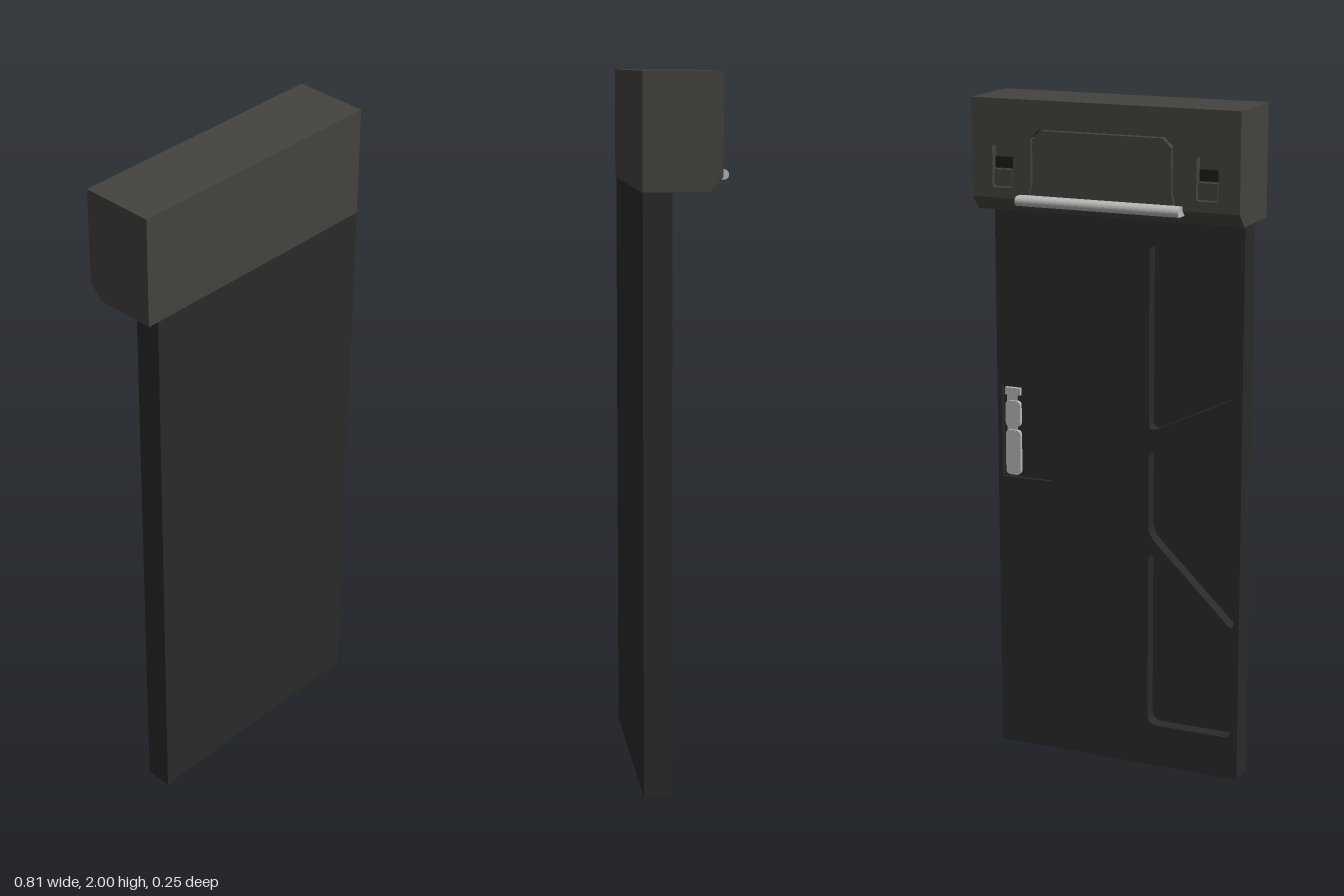
import * as THREE from 'three';

const mat = (color) => new THREE.MeshStandardMaterial({ color });
const headerMat = mat(0x45433f);
const doorMat = mat(0x2a2a2a);
const darkMat = mat(0x1c1c1c);
const metalMat = mat(0xb8b8b8);

// Trace a polygon with rounded corners into a Shape or Path
function trace(points, r = 0, target = new THREE.Shape()) {
  const pts = points.map(([x, y]) => new THREE.Vector2(x, y));
  const n = pts.length;
  const toward = (a, b) => a.clone().add(b.clone().sub(a).setLength(r));
  pts.forEach((p, i) => {
    if (!r) return i ? target.lineTo(p.x, p.y) : target.moveTo(p.x, p.y);
    const a = toward(p, pts[(i + n - 1) % n]);
    const b = toward(p, pts[(i + 1) % n]);
    if (i) target.lineTo(a.x, a.y); else target.moveTo(a.x, a.y);
    target.quadraticCurveTo(p.x, p.y, b.x, b.y);
  });
  target.closePath();
  return target;
}
const hole = (points, r) => trace(points, r, new THREE.Path());
const rect = (x0, x1, y0, y1) => [[x0, y0], [x1, y0], [x1, y1], [x0, y1]];

export function createModel() {
  const model = new THREE.Group();

  const add = (name, geometry, material) => {
    const mesh = new THREE.Mesh(geometry, material);
    mesh.name = name;
    model.add(mesh);
    return mesh;
  };
  const box = (name, material, x0, x1, y0, y1, z0, z1) => {
    const g = new THREE.BoxGeometry(x1 - x0, y1 - y0, z1 - z0);
    g.translate((x0 + x1) / 2, (y0 + y1) / 2, (z0 + z1) / 2);
    return add(name, g, material);
  };
  // Plate drawn in x/y and thickened along z
  const plate = (name, material, shape, z0, z1) => {
    const g = new THREE.ExtrudeGeometry(shape, { depth: z1 - z0, bevelEnabled: false, curveSegments: 5 });
    g.translate(0, 0, z0);
    return add(name, g, material);
  };
  // Section drawn in z/y and swept along x
  const sweep = (name, material, shape, x0, x1) => {
    const g = new THREE.ExtrudeGeometry(shape, { depth: x1 - x0, bevelEnabled: false, curveSegments: 8 });
    g.rotateY(-Math.PI / 2);
    g.translate(x1, 0, 0);
    return add(name, g, material);
  };

  // Door leaf: solid front skin and a back layer with recessed fields
  box('doorFront', doorMat, -0.37, 0.403, 0, 1.68, 0.085, 0.125);
  const back = trace(rect(-0.37, 0.403, 0, 1.68));
  const gripPocket = [[0.23, 0.855], [0.388, 0.855], [0.388, 1.135], [0.28, 1.135], [0.23, 1.1]];
  back.holes.push(
    hole([[-0.083, 1.04], [-0.083, 1.6], [-0.205, 1.6], [-0.353, 1.17]], 0.03),
    hole([[-0.083, 0.73], [-0.083, 0.99], [-0.353, 1.13], [-0.353, 0.465]], 0.03),
    hole([[-0.083, 0.13], [-0.083, 0.68], [-0.353, 0.375], [-0.353, 0.13]], 0.03),
    hole(gripPocket),
  );
  plate('doorBack', doorMat, back, 0.045, 0.085);

  // Shallow pocket with a two-part metal grip
  plate('gripPocket', doorMat, trace(gripPocket), 0.057, 0.085);
  box('gripStem', metalMat, 0.343, 0.376, 0.87, 1.125, 0.052, 0.06);
  box('gripCap', metalMat, 0.33, 0.378, 1.108, 1.13, 0.045, 0.058);
  for (const [y0, y1] of [[0.862, 1.0], [1.01, 1.09]]) {
    plate('grip', metalMat, trace(rect(0.33, 0.378, y0, y1), 0.015), 0.045, 0.058);
  }

  // Header housing with a chamfered lower back edge
  sweep('header', headerMat, trace([
    [0.125, 1.68], [0.125, 2], [-0.067, 2], [-0.067, 1.72], [-0.092, 1.72], [-0.055, 1.68],
  ]), -0.403, 0.403);
  const panel = (d) => [
    [-0.215 + d, 1.725 + d], [0.229 - d, 1.725 + d], [0.221 - d, 1.77], [0.221 - d, 1.895 - d],
    [0.195 - d, 1.92 - d], [-0.181 + d, 1.92 - d], [-0.207 + d, 1.895 - d], [-0.207 + d, 1.77],
  ];
  const skin = trace(rect(-0.403, 0.403, 1.72, 2));
  skin.holes.push(hole(panel(0)));
  for (const s of [-1, 1]) {
    skin.holes.push(hole(rect(s * 0.308 - 0.032, s * 0.308 + 0.032, 1.75, 1.872), 0.008));
  }
  plate('headerBack', headerMat, skin, -0.092, -0.067);
  plate('accessPanel', headerMat, trace(panel(0.005)), -0.091, -0.067);

  // Latches set in the header
  for (const s of [-1, 1]) {
    const x = s * 0.308;
    box('latchPlate', headerMat, x - 0.028, x + 0.028, 1.753, 1.8, -0.088, -0.067);
    box('latchSlide', darkMat, x - 0.028, x + 0.028, 1.804, 1.835, -0.08, -0.067);
  }

  // Rounded metal bar under the access panel
  const bar = new THREE.Shape();
  bar.moveTo(-0.075, 1.705);
  bar.lineTo(-0.075, 1.733);
  bar.lineTo(-0.114, 1.733);
  bar.absarc(-0.114, 1.719, 0.014, Math.PI / 2, Math.PI * 1.5, false);
  bar.closePath();
  sweep('bar', metalMat, bar, -0.237, 0.255);

  return model;
}
